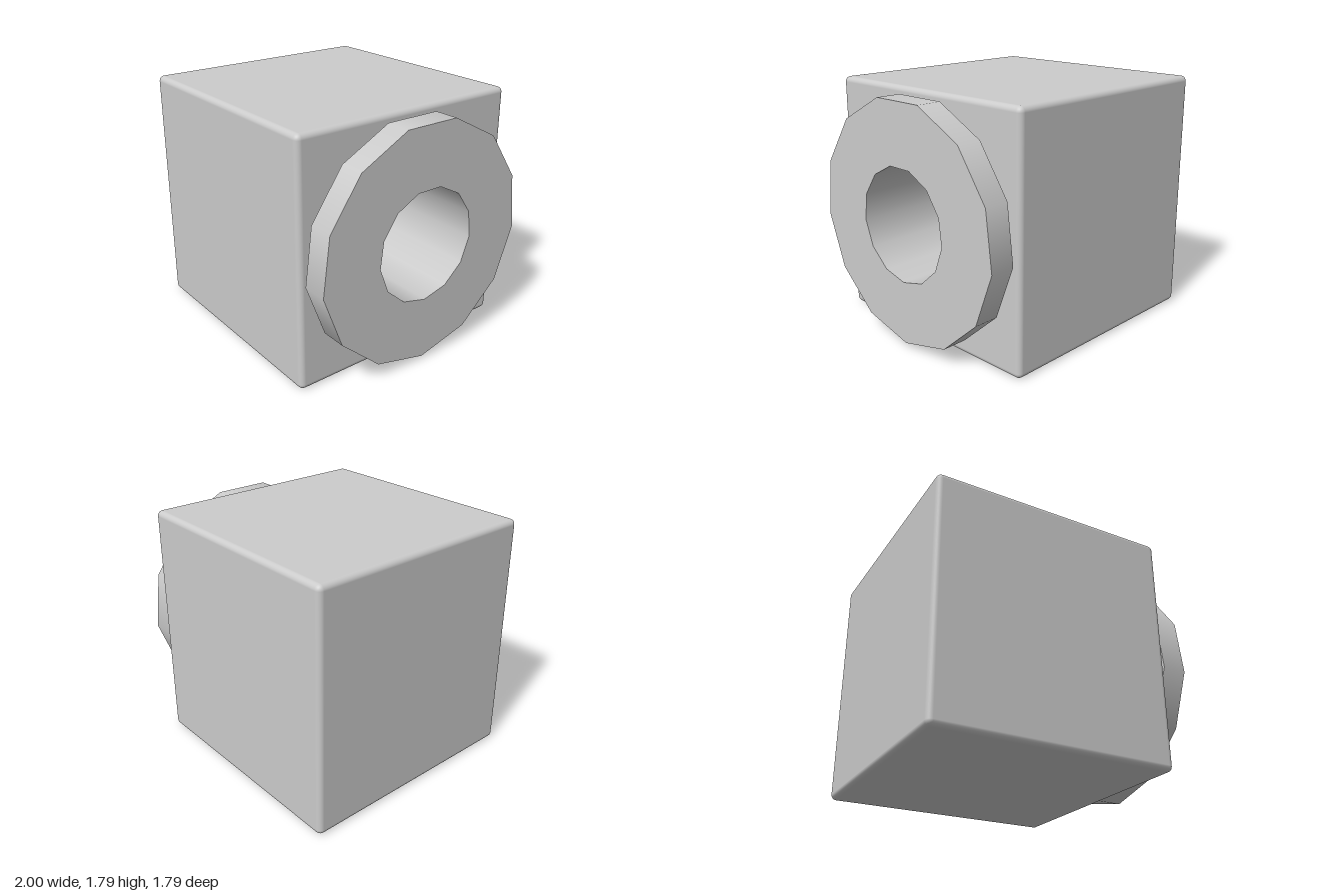
import * as THREE from 'three';
import { mergeGeometries } from 'three/addons/utils/BufferGeometryUtils.js';
import { RoundedBoxGeometry } from 'three/addons/geometries/RoundedBoxGeometry.js';

const SIDES = 13;
const SIZE = 1.79;
const HALF = SIZE / 2;
const EDGE = 0.04;
const BORE = 0.41;

// Rounded cube whose +x face is left open
function openCube() {
  const box = new RoundedBoxGeometry(SIZE, SIZE, SIZE, 3, EDGE);
  const src = box.index ? box.toNonIndexed() : box;
  const p = src.attributes.position, n = src.attributes.normal;
  const pos = [], nor = [];
  for (let i = 0; i < p.count; i += 3) {
    if ([0, 1, 2].every(k => p.getX(i + k) > HALF - 1e-4)) continue;
    for (let k = i; k < i + 3; k++) {
      pos.push(p.getX(k), p.getY(k), p.getZ(k));
      nor.push(n.getX(k), n.getY(k), n.getZ(k));
    }
  }
  const geo = new THREE.BufferGeometry();
  geo.setAttribute('position', new THREE.Float32BufferAttribute(pos, 3));
  geo.setAttribute('normal', new THREE.Float32BufferAttribute(nor, 3));
  return geo;
}

// Flat +x face with a polygonal opening for the bore
function boredFace() {
  const h = HALF - EDGE;
  const shape = new THREE.Shape([[-h, -h], [h, -h], [h, h], [-h, h]].map(c => new THREE.Vector2(...c)));
  const hole = [];
  for (let i = 0; i < SIDES; i++) {
    const a = -Math.PI / 2 - (i / SIDES) * Math.PI * 2;
    hole.push(new THREE.Vector2(BORE * Math.cos(a), BORE * Math.sin(a)));
  }
  shape.holes.push(new THREE.Path(hole));
  return new THREE.ShapeGeometry(shape).rotateY(Math.PI / 2).translate(HALF, 0, 0);
}

// Revolve [radius, x] points about the x axis, with a sharp edge at each point
function turned(points) {
  const bands = points.slice(1).map((b, i) => new THREE.LatheGeometry(
    [new THREE.Vector2(...points[i]), new THREE.Vector2(...b)], SIDES, Math.PI / 2));
  return mergeGeometries(bands).rotateZ(-Math.PI / 2);
}

export function createModel() {
  const model = new THREE.Group();
  const material = new THREE.MeshStandardMaterial({ color: 0xcccccc });
  const add = (name, geometry, x) => {
    const mesh = new THREE.Mesh(geometry, material);
    mesh.name = name;
    mesh.position.set(x, HALF, 0);
    model.add(mesh);
  };

  // Body
  add('body', openCube(), -1 + HALF);
  add('bodyFace', boredFace(), -1 + HALF);

  // Collar, flange and blind bore
  add('collar', turned([[0.535, 0.78], [0.535, 0.815]]), 0);
  add('flange', turned([[0.535, 0.815], [0.87, 0.815], [0.87, 1], [BORE, 1]]), 0);
  add('bore', turned([[BORE, 1], [BORE, -0.2], [0, -0.2]]), 0);

  return model;
}
